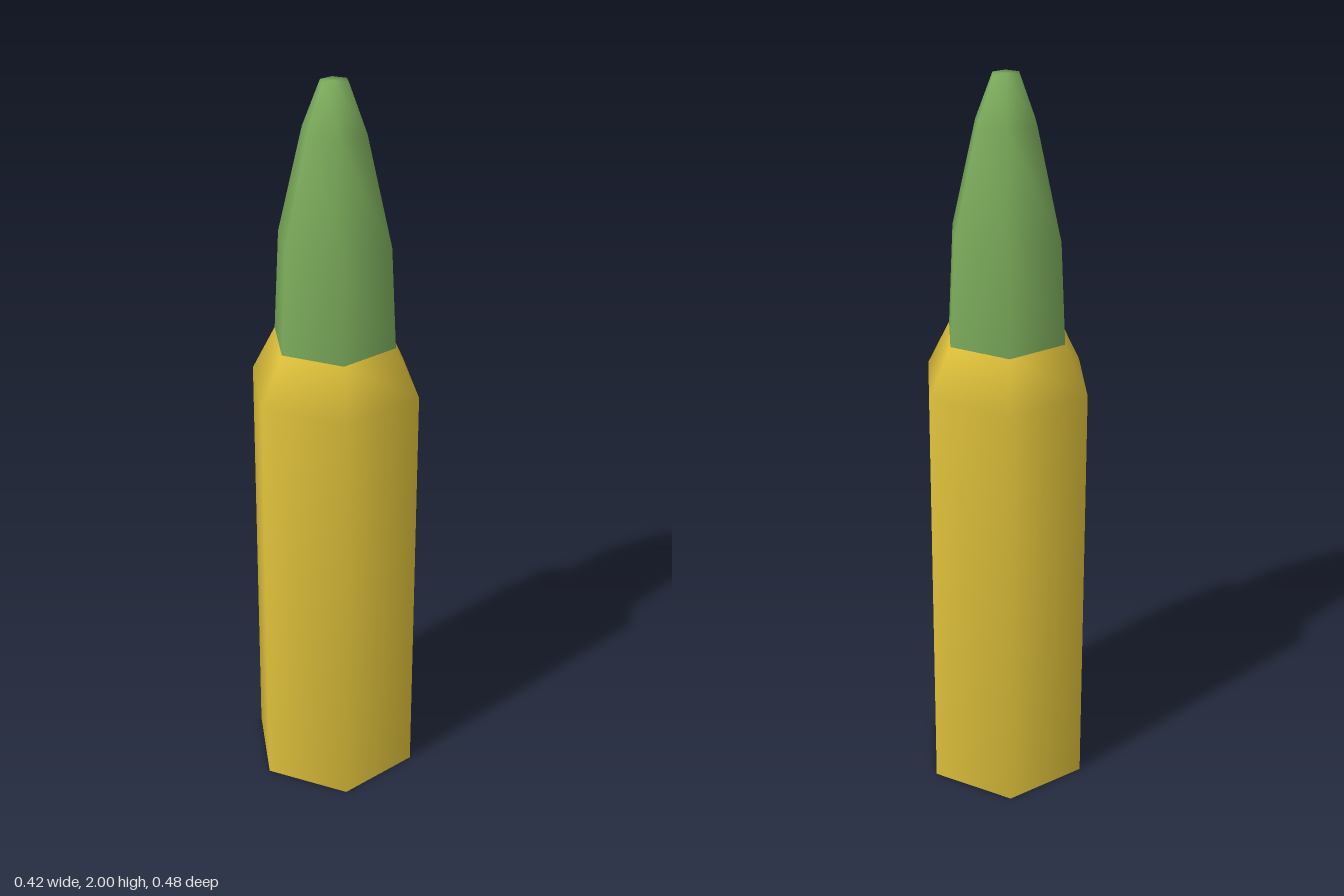
import * as THREE from 'three';

const brass = new THREE.MeshStandardMaterial({ color: 0xe0c23b });
brass.name = 'brass yellow';
const green = new THREE.MeshStandardMaterial({ color: 0x7aa95a });
green.name = 'tip green';

// Six-sided smooth-shaded turned part; profile is [radius, height] from bottom to top
function turned(name, profile, material) {
  const points = profile.map(([r, y]) => new THREE.Vector2(r, y));
  const mesh = new THREE.Mesh(new THREE.LatheGeometry(points, 6), material);
  mesh.name = name;
  return mesh;
}

export function createModel() {
  const group = new THREE.Group();
  group.name = 'cartridge';

  // Casing: closed base, slightly tapered body, shoulder
  group.add(turned('casing', [
    [0, 0], [0.15, 0], [0.24, 0], [0.234, 1.2], [0.168, 1.33],
  ], brass));

  // Bullet: ogive with a small flat nose
  group.add(turned('bullet', [
    [0.168, 1.33], [0.153, 1.6], [0.085, 1.88], [0.037, 2], [0, 2],
  ], green));

  return group;
}
